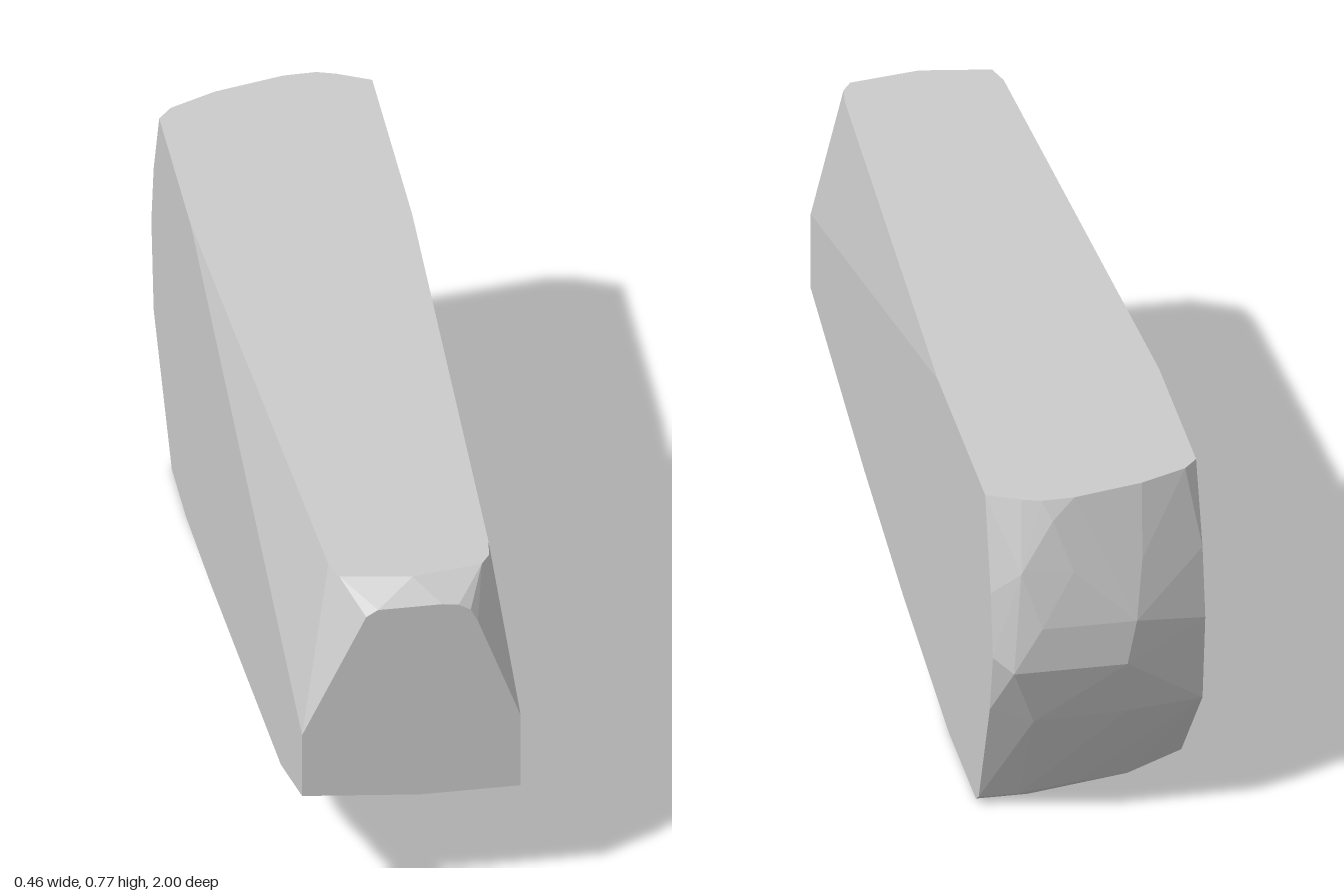
import * as THREE from 'three';
import { ConvexGeometry } from 'three/addons/geometries/ConvexGeometry.js';

const W = 0.23; // half width
const TOP = 0.77;

export function createModel() {
  const group = new THREE.Group();
  group.name = 'facetedBlock';
  const points = [];
  const add = (list, toPoint) => list.forEach(([a, b]) => points.push(new THREE.Vector3(...toPoint(a, b))));

  // flat front end: x, y
  add([[-W, 0.43], [-0.095, 0.71], [-0.07, 0.725], [0.065, 0.725], [0.1, 0.72], [0.125, 0.705],
    [0.14, 0.675], [W, 0.43], [W, 0.255], [0.02, 0.255], [-W, 0.278]], (x, y) => [x, y, 1]);

  // flat top, narrowing to the front: x, z
  add([[-W, -0.82], [-W, -0.42], [-0.155, 0.88], [-0.14, 0.93], [0.01, 0.955], [0.16, 0.93],
    [0.18, 0.9], [0.187, 0.85], [W, -0.38], [W, -0.89], [0.16, -0.925], [0.12, -0.938],
    [0.05, -0.936], [-0.1, -0.9], [-0.2, -0.855]], (x, z) => [x, TOP, z]);

  // +x side, lower and rear edge: z, y
  add([[0.42, 0.133], [0, 0.061], [-0.45, 0.005], [-0.5, 0], [-0.79, 0], [-0.82, 0.02],
    [-0.94, 0.29], [-0.975, 0.43], [-0.95, 0.57]], (z, y) => [W, y, z]);

  // -x side, lower and rear edge: z, y
  add([[0.73, 0.178], [0.165, 0.09], [-0.16, 0.04], [-0.48, 0], [-0.66, 0], [-0.89, 0.245],
    [-0.92, 0.45], [-0.89, 0.6]], (z, y) => [-W, y, z]);

  // underside ridge and rear underside: x, z
  add([[0.15, 0.75], [-0.1, 0.75]], (x, z) => [x, 0.173, z]);
  add([[-0.1, -0.74], [0.12, -0.79]], (x, z) => [x, 0, z]);

  // bulging rear end, row by row: x, z
  add([[0.02, -0.81], [0.15, -0.84]], (x, z) => [x, 0.03, z]);
  add([[-0.06, -0.945], [0.14, -0.955]], (x, z) => [x, 0.26, z]);
  add([[-0.05, -1], [0.19, -1]], (x, z) => [x, 0.4, z]);
  add([[-0.07, -1], [0.13, -1]], (x, z) => [x, 0.5, z]);
  add([[-0.09, -0.955], [0.06, -0.982], [0.17, -0.975]], (x, z) => [x, 0.62, z]);
  add([[0.1, -0.958]], (x, z) => [x, 0.73, z]);

  const body = new THREE.Mesh(
    new ConvexGeometry(points),
    new THREE.MeshStandardMaterial({ color: 0xcccccc, flatShading: true })
  );
  body.name = 'body';
  group.add(body);
  return group;
}
